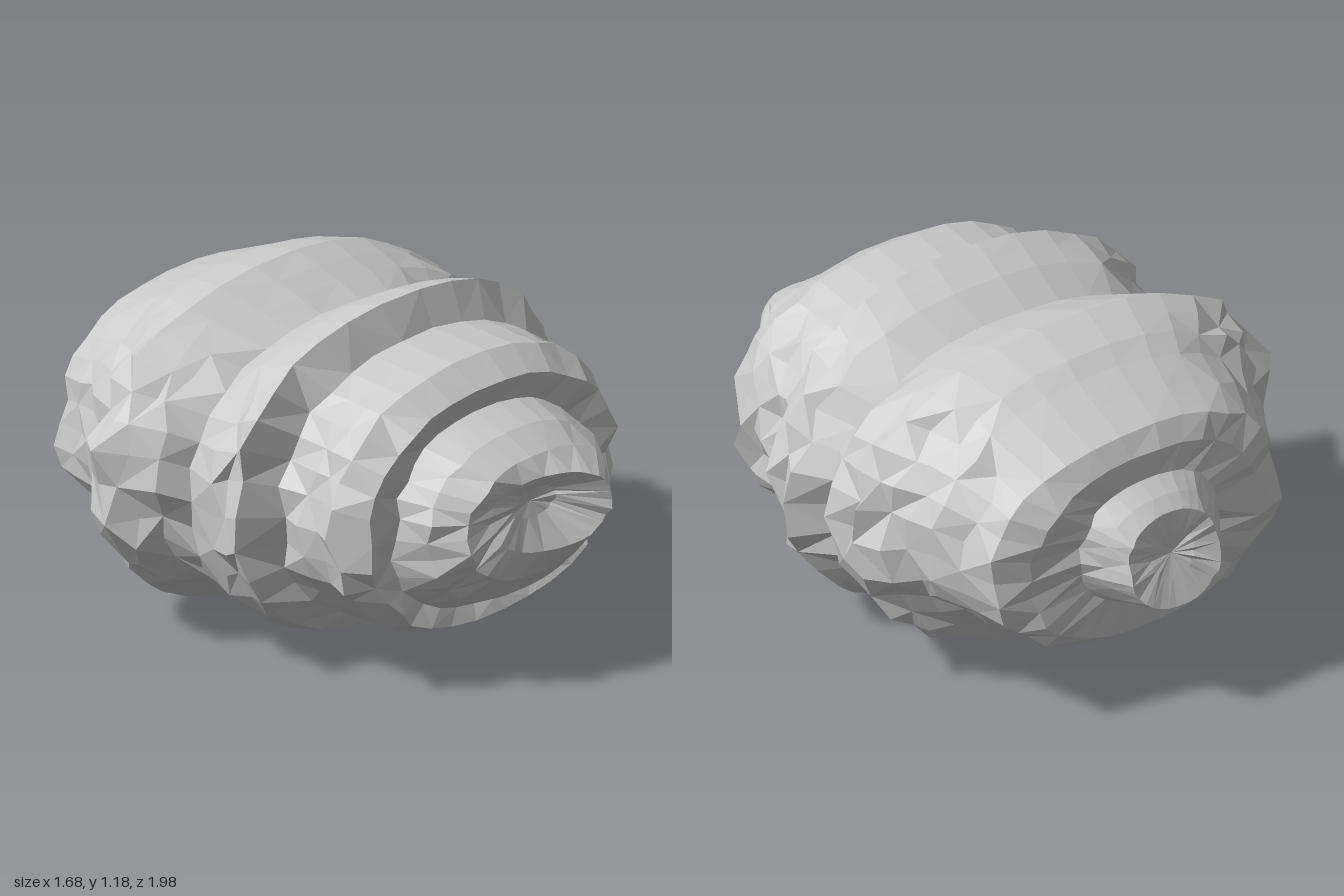
import * as THREE from 'three';

const SEGMENTS = 34;

// Key cross-sections from front to back: z, left x, right x, bottom y, top y
const SECTIONS = [
  [0.86, -0.03, 0.16, 0.58, 0.68],
  [0.92, -0.13, 0.30, 0.47, 0.74],
  [0.86, -0.24, 0.41, 0.37, 0.80],
  [0.76, -0.32, 0.47, 0.27, 0.86],
  [0.63, -0.37, 0.50, 0.21, 0.90],
  [0.66, -0.50, 0.62, 0.16, 0.99],
  [0.56, -0.57, 0.69, 0.12, 1.06],
  [0.31, -0.56, 0.69, 0.12, 1.06],
  [0.24, -0.70, 0.80, 0.04, 1.18],
  [0.10, -0.70, 0.82, 0.00, 1.13],
  [-0.03, -0.65, 0.73, 0.09, 1.06],
  [-0.12, -0.74, 0.80, 0.13, 1.10],
  [-0.28, -0.83, 0.81, 0.02, 1.17],
  [-0.44, -0.71, 0.71, 0.09, 1.13],
  [-0.52, -0.65, 0.68, 0.18, 1.09],
  [-0.74, -0.57, 0.60, 0.21, 0.99],
  [-0.79, -0.45, 0.48, 0.25, 0.92],
  [-0.80, -0.27, 0.29, 0.38, 0.83],
  [-0.95, -0.17, 0.19, 0.43, 0.75],
  [-0.93, -0.08, 0.09, 0.52, 0.67],
];

function seeded(seed) {
  return () => {
    seed = (seed * 1664525 + 1013904223) % 4294967296;
    return seed / 4294967296;
  };
}

// Fill the gaps between key sections with rings about 0.09 apart
function fillRings() {
  const rings = [SECTIONS[0]];
  for (let i = 1; i < SECTIONS.length; i++) {
    const from = SECTIONS[i - 1], to = SECTIONS[i];
    const steps = Math.max(1, Math.round(Math.abs(to[0] - from[0]) / 0.09));
    for (let s = 1; s <= steps; s++) {
      rings.push(from.map((value, n) => THREE.MathUtils.lerp(value, to[n], s / steps)));
    }
  }
  return rings;
}

// Slightly squared ellipse
const squared = (value) => Math.sign(value) * Math.abs(value) ** 0.88;

export function createModel() {
  const random = seeded(17);
  const rings = fillRings();
  const positions = [];
  const index = [];

  // Rings are smooth over the top and bottom, and rough on the flanks
  for (const [z, left, right, bottom, top] of rings) {
    const cx = (left + right) / 2, cy = (bottom + top) / 2;
    const rx = (right - left) / 2, ry = (top - bottom) / 2;
    const roughness = THREE.MathUtils.clamp(rx * 1.6, 0.3, 1);
    // The front lip leans out to the left, the rear lip leans out at its foot
    const frontLean = 5 * Math.max(0, z - 0.86);
    const rearLean = 2.5 * Math.max(0, -z - 0.85);
    for (let j = 0; j < SEGMENTS; j++) {
      const a = (j / SEGMENTS) * Math.PI * 2;
      const flank = THREE.MathUtils.smoothstep(Math.abs(Math.cos(a)), 0.4, 0.85);
      const amount = roughness * (0.2 + 0.8 * flank);
      const radial = 1 + (random() - 0.6) * 0.085 * amount;
      const x = cx + rx * radial * squared(Math.cos(a));
      const y = cy + ry * (1 + (radial - 1) * flank) * squared(Math.sin(a));
      const shift = (random() - 0.5) * 0.06 * amount;
      const depth = z + shift + frontLean * (x - cx) + rearLean * (y - cy);
      positions.push(x, Math.max(0, y), THREE.MathUtils.clamp(depth, -1, 1));
    }
  }

  // Bands between neighbouring rings, with alternating diagonals
  for (let i = 0; i < rings.length - 1; i++) {
    for (let j = 0; j < SEGMENTS; j++) {
      const a = i * SEGMENTS + j, d = i * SEGMENTS + (j + 1) % SEGMENTS;
      const b = a + SEGMENTS, c = d + SEGMENTS;
      if ((i + j) % 2) index.push(a, b, d, b, c, d);
      else index.push(a, b, c, a, c, d);
    }
  }

  // Sunken floors of the front and rear hollows
  const front = positions.length / 3, rear = front + 1;
  positions.push(0.06, 0.63, 0.84, 0, 0.59, -0.91);
  const last = (rings.length - 1) * SEGMENTS;
  for (let j = 0; j < SEGMENTS; j++) {
    const k = (j + 1) % SEGMENTS;
    index.push(front, j, k, rear, last + k, last + j);
  }

  const geometry = new THREE.BufferGeometry();
  geometry.setAttribute('position', new THREE.Float32BufferAttribute(positions, 3));
  geometry.setIndex(index);
  geometry.computeVertexNormals();

  const material = new THREE.MeshStandardMaterial({ color: 0xcccccc, flatShading: true });
  const body = new THREE.Mesh(geometry, material);
  body.name = 'ridgedRock';
  const group = new THREE.Group();
  group.name = 'rock';
  group.add(body);
  return group;
}
